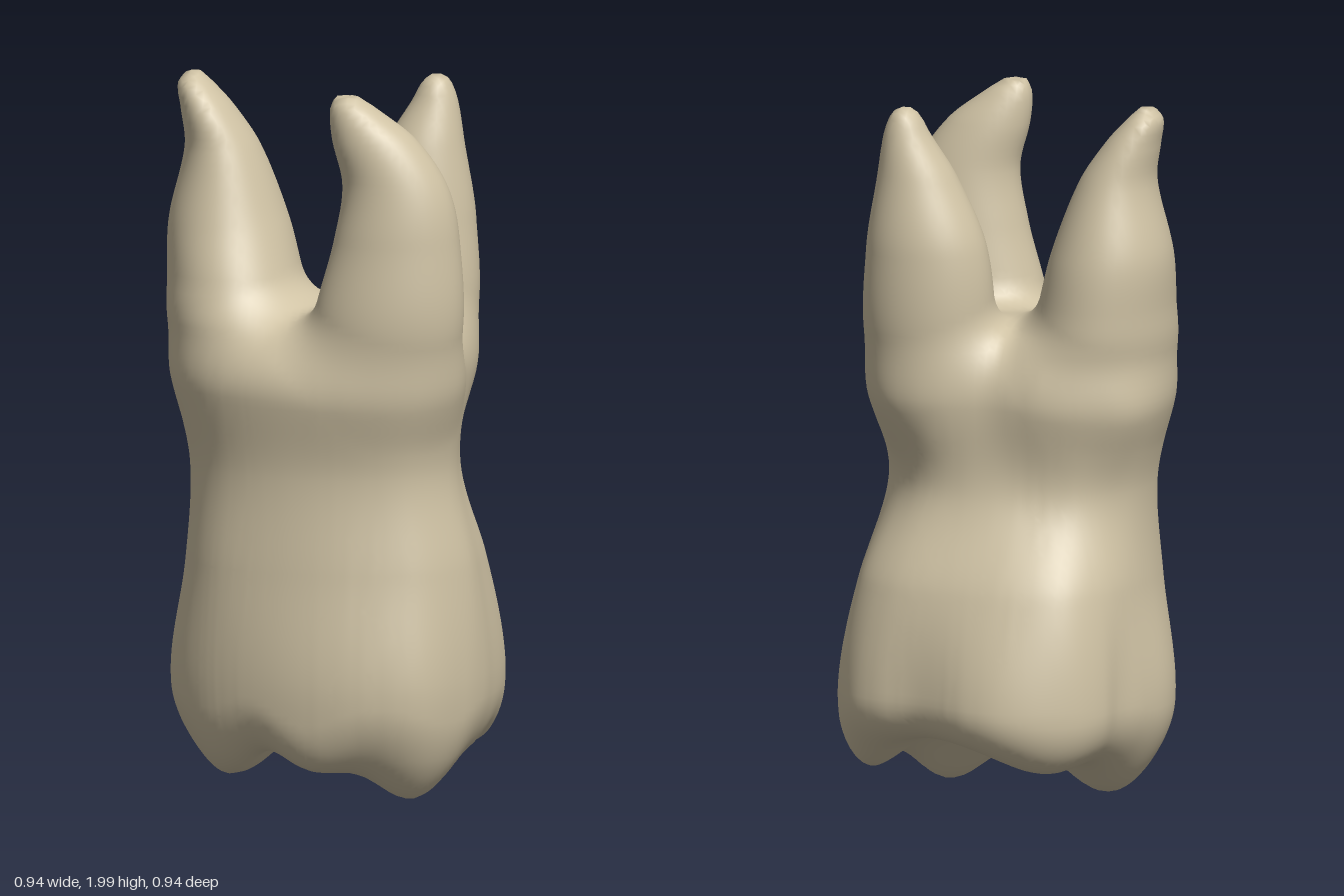
import * as THREE from 'three';

const STEP = 0.022, CZ = 0.05, NECK_Y = 0.92, BINS = 256;

// Horizontal outlines [x, z] of the crown, its shoulder, the neck and the root trunk
const outlines = [
  [[-.1, -.47], [0, -.46], [.17, -.39], [.3, -.355], [.37, -.31], [.435, -.21], [.462, -.1], [.465, 0], [.455, .1], [.44, .2], [.4, .3],
    [.29, .43], [.1, .465], [-.1, .43], [-.3, .33], [-.4, .23], [-.445, .12], [-.455, 0], [-.42, -.13], [-.375, -.22], [-.355, -.3], [-.3, -.38], [-.2, -.445]],
  [[-.12, -.385], [.1, -.36], [.27, -.305], [.37, -.21], [.415, -.05], [.42, .1], [.4, .25], [.29, .385], [.1, .43], [-.12, .4], [-.3, .315],
    [-.385, .2], [-.412, .05], [-.395, -.1], [-.34, -.25], [-.25, -.35]],
  [[-.1, -.25], [.08, -.24], [.22, -.19], [.325, -.07], [.36, .1], [.35, .25], [.25, .37], [.08, .41], [-.12, .385], [-.28, .305], [-.37, .19],
    [-.4, .05], [-.37, -.1], [-.25, -.22]],
  [[-.18, -.28], [0, -.25], [.2, -.265], [.31, -.22], [.38, -.1], [.375, .05], [.39, .2], [.37, .32], [.28, .42], [.1, .465], [-.1, .43],
    [-.3, .33], [-.42, .2], [-.46, .03], [-.445, -.12], [-.405, -.195], [-.31, -.25]],
].map(polarTable);

// Height, then the weight of each outline
const bodyLevels = [
  [-.1, .76, 0, 0, 0], [.02, .87, 0, 0, 0], [.14, .95, 0, 0, 0], [.36, 1, 0, 0, 0], [.66, 0, 1, 0, 0],
  [.93, 0, 0, 1, 0], [1.2, 0, 0, 0, .985], [1.45, 0, 0, 0, .91],
];

// Root sections: height, centre x, centre z, half width x, half width z
const rootSections = [
  [[.9, -.15, .04, .05, .05], [1.1, -.23, .02, .15, .18], [1.32, -.26, .015, .205, .255], [1.45, -.283, -.005, .188, .238],
    [1.6, -.303, -.025, .167, .202], [1.8, -.32, -.025, .106, .14], [1.91, -.362, -.02, .075, .108], [1.975, -.395, -.02, .05, .072], [2.01, -.402, -.02, .02, .03]],
  [[.9, .1, .2, .05, .05], [1.1, .16, .26, .15, .12], [1.32, .18, .3, .21, .158], [1.6, .21, .308, .175, .14],
    [1.75, .205, .31, .147, .12], [1.88, .147, .315, .118, .094], [1.965, .09, .318, .066, .06], [2, .07, .318, .032, .032]],
  [[.9, .1, -.02, .05, .05], [1.1, .17, -.07, .13, .12], [1.32, .2, -.1, .182, .16], [1.6, .207, -.118, .17, .147],
    [1.8, .234, -.12, .112, .106], [1.92, .261, -.128, .065, .068], [1.975, .266, -.13, .04, .046], [1.995, .268, -.13, .02, .025]],
];

// Chewing surface bumps: x, z, height, width
const cusps = [[.25, .27, .23, .18], [-.27, .03, .19, .18], [-.2, -.34, .08, .17], [.38, -.13, .13, .15],
  [-.03, .4, .14, .15], [-.28, .25, .12, .13], [.4, .08, .06, .1]];

// Radius by angle around the tooth axis
function polarTable(outline) {
  const curve = new THREE.CatmullRomCurve3(outline.map(([x, z]) => new THREE.Vector3(x, 0, z - CZ)), true);
  const polar = curve.getPoints(1500).map(p => [Math.atan2(p.z, p.x), Math.hypot(p.x, p.z)]);
  return Array.from({ length: BINS }, (_, i) => {
    const a = (i / BINS) * 2 * Math.PI - Math.PI;
    let best = 9, radius = 0;
    for (const [angle, r] of polar) {
      const gap = Math.abs(Math.atan2(Math.sin(angle - a), Math.cos(angle - a)));
      if (gap < best) { best = gap; radius = r; }
    }
    return radius;
  });
}

function radiusAt(table, angle) {
  const t = ((angle + Math.PI) / (2 * Math.PI)) * BINS, i = Math.floor(t);
  return THREE.MathUtils.lerp(table[i % BINS], table[(i + 1) % BINS], t - i);
}

// Smooth interpolation between rows keyed by their first number
function sample(rows, y) {
  const last = rows.length - 1;
  if (y <= rows[0][0]) return rows[0];
  if (y >= rows[last][0]) return rows[last];
  let i = 0;
  while (y > rows[i + 1][0]) i++;
  const a = rows[i], b = rows[i + 1], p = rows[Math.max(i - 1, 0)], n = rows[Math.min(i + 2, last)];
  const h = b[0] - a[0], t = (y - a[0]) / h, t2 = t * t, t3 = t2 * t;
  return a.map((v, k) => {
    const m0 = ((b[k] - p[k]) / (b[0] - p[0])) * h, m1 = ((n[k] - v) / (n[0] - a[0])) * h;
    return (2 * t3 - 3 * t2 + 1) * v + (t3 - 2 * t2 + t) * m0 + (3 * t2 - 2 * t3) * b[k] + (t3 - t2) * m1;
  });
}

function smoothMin(a, b, k) {
  const h = Math.max(k - Math.abs(a - b), 0) / k;
  return Math.min(a, b) - h * h * k * 0.25;
}
const smoothMax = (a, b, k) => -smoothMin(-a, -b, k);

// Signed field of the whole tooth, negative inside
function field(x, y, z) {
  const weights = sample(bodyLevels, y), angle = Math.atan2(z - CZ, x), reach = Math.hypot(x, z - CZ);
  let radius = 0;
  outlines.forEach((table, i) => { if (weights[i + 1]) radius += weights[i + 1] * radiusAt(table, angle); });
  let floor = 0.25;
  for (const [cx, cz, height, w] of cusps) floor -= height * Math.exp(-((x - cx) ** 2 + (z - cz) ** 2) / (w * w));
  let d = smoothMax(reach - radius, (floor - y) * 0.8, 0.1);
  // Domed saddle between the roots
  d = smoothMax(d, (y - 1.385 + 0.5 * x * x + 0.8 * (z - CZ) ** 2) * 0.9, 0.12);
  if (y < 0.9) return d;
  let roots = 9;
  for (const rows of rootSections) {
    const [, cx, cz, rx, rz] = sample(rows, y);
    const r = (Math.hypot((x - cx) / rx, (z - cz) / rz) - 1) * Math.min(rx, rz);
    roots = smoothMin(roots, Math.max(r, y - rows[rows.length - 1][0]), 0.04);
  }
  return smoothMin(d, roots, 0.09);
}

function gradient(x, y, z) {
  const e = 0.008;
  return new THREE.Vector3(
    field(x + e, y, z) - field(x - e, y, z),
    field(x, y + e, z) - field(x, y - e, z),
    field(x, y, z + e) - field(x, y, z - e)).divideScalar(2 * e);
}

// Skin the field with quads: one point per cell that the surface crosses
function skin() {
  const size = [50, 98, 50], origin = [-.55, -.07, -.55], stride = [1, size[0], size[0] * size[1]];
  const at = (i, j, k) => i + j * stride[1] + k * stride[2];
  const place = (c, axis) => origin[axis] + c * STEP;
  const values = new Float32Array(size[0] * size[1] * size[2]), cells = new Map();
  const positions = [], normals = [], crown = [], roots = [];
  const each = (start, trim, fn) => {
    for (let k = start; k < size[2] - trim; k++) for (let j = start; j < size[1] - trim; j++)
      for (let i = start; i < size[0] - trim; i++) fn(i, j, k);
  };
  each(0, 0, (i, j, k) => { values[at(i, j, k)] = field(place(i, 0), place(j, 1), place(k, 2)); });

  each(0, 1, (i, j, k) => {
    const sum = new THREE.Vector3();
    let count = 0;
    for (let c = 0; c < 8; c++) for (let axis = 0; axis < 3; axis++) {
      if (c & (1 << axis)) continue;
      const p = [i + (c & 1), j + ((c >> 1) & 1), k + (c >> 2)];
      const a = values[at(...p)], b = values[at(...p) + stride[axis]];
      if ((a < 0) === (b < 0)) continue;
      p[axis] += a / (a - b);
      sum.add(new THREE.Vector3(...p.map(place)));
      count++;
    }
    if (!count) return;
    sum.divideScalar(count);
    const g = gradient(sum.x, sum.y, sum.z);
    const shift = -field(sum.x, sum.y, sum.z) / Math.max(g.lengthSq(), 0.3);
    sum.addScaledVector(g, THREE.MathUtils.clamp(shift, -STEP / 3, STEP / 3));
    cells.set(at(i, j, k), positions.length / 3);
    positions.push(sum.x, sum.y, sum.z);
    normals.push(...gradient(sum.x, sum.y, sum.z).normalize().toArray());
  });

  each(1, 1, (i, j, k) => {
    const n = at(i, j, k);
    for (let axis = 0; axis < 3; axis++) {
      const inside = values[n] < 0;
      if (inside === values[n + stride[axis]] < 0) continue;
      const u = stride[(axis + 1) % 3], v = stride[(axis + 2) % 3];
      const [a, b, c, d] = [n - u - v, n - v, n, n - u].map(id => cells.get(id));
      const part = place(j, 1) < NECK_Y ? crown : roots;
      part.push(...(inside ? [a, b, c, a, c, d] : [a, c, b, a, d, c]));
    }
  });

  // Rest the lowest cusp on the ground
  const low = positions.reduce((m, v, i) => (i % 3 === 1 ? Math.min(m, v) : m), 9);
  for (let i = 1; i < positions.length; i += 3) positions[i] -= low;
  return { positions, normals, crown, roots };
}

export function createModel() {
  const tooth = new THREE.Group();
  tooth.name = 'molarTooth';
  const ivory = new THREE.MeshStandardMaterial({ color: 0xcfc2a4 });
  ivory.name = 'ivory';
  const surface = skin();
  const position = new THREE.Float32BufferAttribute(surface.positions, 3);
  const normal = new THREE.Float32BufferAttribute(surface.normals, 3);
  for (const name of ['crown', 'roots']) {
    const geometry = new THREE.BufferGeometry();
    geometry.setAttribute('position', position);
    geometry.setAttribute('normal', normal);
    geometry.setIndex(surface[name]);
    const mesh = new THREE.Mesh(geometry, ivory);
    mesh.name = name;
    tooth.add(mesh);
  }
  return tooth;
}
